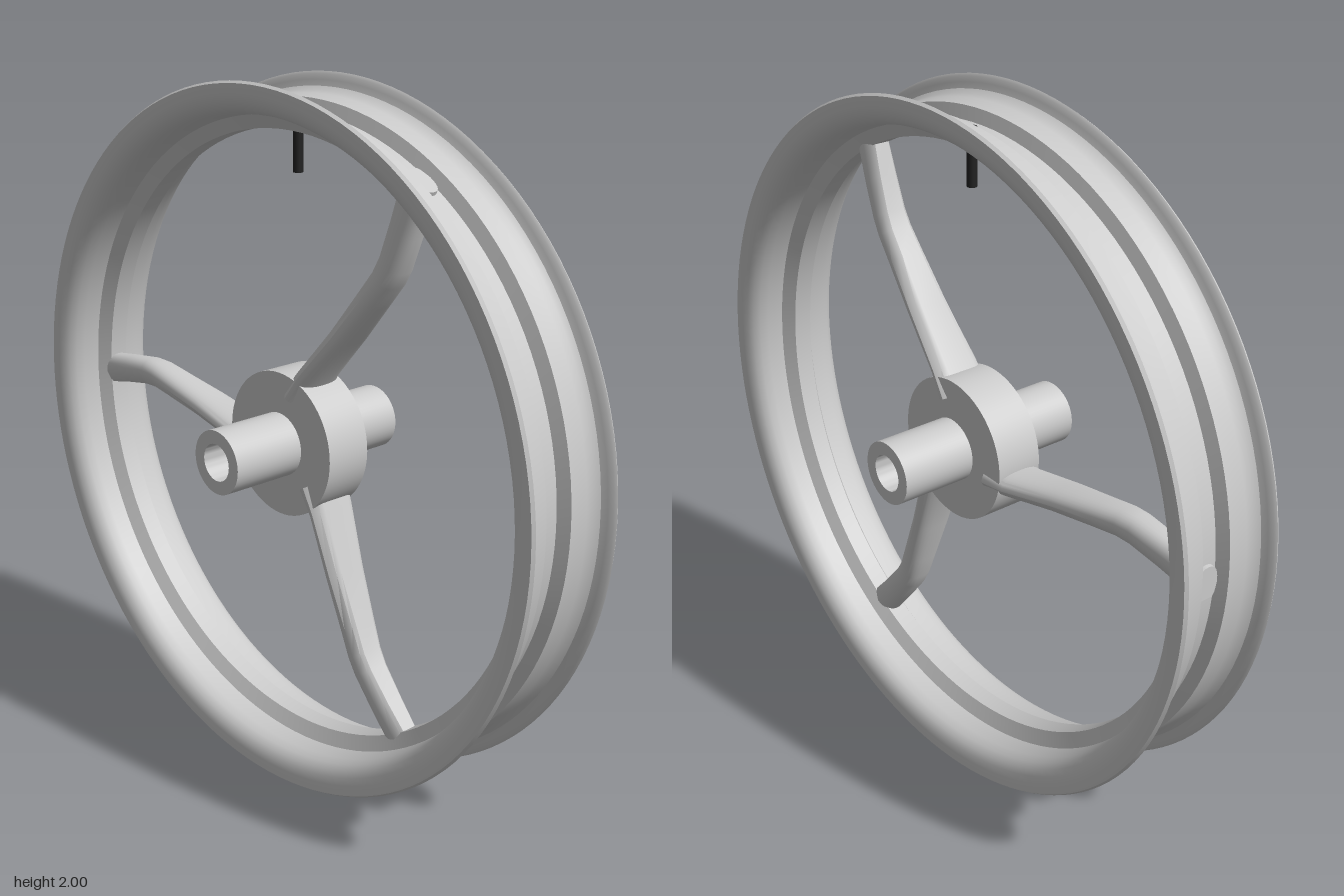
import * as THREE from 'three';
import { toCreasedNormals } from 'three/addons/utils/BufferGeometryUtils.js';

const grey = new THREE.MeshStandardMaterial({ color: 0xcccccc });
const dark = new THREE.MeshStandardMaterial({ color: 0x222222 });

function part(name, geometry, material = grey) {
  const mesh = new THREE.Mesh(geometry, material);
  mesh.name = name;
  return mesh;
}

// Revolve a closed [radius, x] profile around the x axis
function revolve(profile, segments) {
  const pts = profile.map(([r, x]) => new THREE.Vector2(r, x));
  pts.push(pts[0].clone());
  const geo = new THREE.LatheGeometry(pts, segments).rotateZ(-Math.PI / 2);
  return toCreasedNormals(geo, 0.5);
}

// Mirror the +x half of a profile to the -x side, in order from -x to +x
const mirrored = half => [...half.map(([r, x]) => [r, -x]).reverse(), ...half];

function rimGeometry() {
  // centre to lip: tyre side, then hub side
  const outer = [[0.908, 0.033], [0.943, 0.046], [0.947, 0.1], [0.952, 0.12],
    [0.962, 0.134], [0.978, 0.141], [0.993, 0.145], [1.0, 0.151]];
  const inner = [[0.865, 0.028], [0.904, 0.052], [0.909, 0.1], [0.916, 0.125],
    [0.928, 0.142], [0.945, 0.153], [0.965, 0.159], [0.994, 0.16]];
  return revolve([...mirrored(outer), ...mirrored(inner).reverse()], 128);
}

// Cross-section: rounded upper half, tapered flat-bottomed lower half
function spokeSection({ u, top, bottom, w }) {
  const mid = bottom + (top - bottom) * 0.42;
  const ring = [];
  for (let i = 0; i <= 14; i++) {
    const a = (i / 14) * Math.PI;
    const c = Math.cos(a);
    ring.push([w * Math.sign(c) * Math.abs(c) ** 0.8, mid + (top - mid) * Math.sin(a) ** 0.8, -u]);
  }
  for (const [sx, f] of [[-0.8, 0.25], [-0.6, 0], [0.6, 0], [0.8, 0.25]]) {
    ring.push([w * sx, bottom + (mid - bottom) * f, -u]);
  }
  return ring;
}

// Loft along -z, from inside the hub to just through the rim well
function spokeGeometry() {
  const rings = [
    { u: 0.14, top: 0.0, bottom: -0.075, w: 0.078 },
    { u: 0.22, top: -0.003, bottom: -0.062, w: 0.074 },
    { u: 0.40, top: 0.036, bottom: -0.028, w: 0.062 },
    { u: 0.55, top: 0.063, bottom: -0.007, w: 0.053 },
    { u: 0.63, top: 0.077, bottom: 0.004, w: 0.049 },
    { u: 0.68, top: 0.079, bottom: 0.002, w: 0.046 },
    { u: 0.78, top: 0.066, bottom: -0.017, w: 0.042 },
    { u: 0.87, top: 0.052, bottom: -0.038, w: 0.037 },
    { u: 0.917, top: 0.045, bottom: -0.047, w: 0.034 },
  ].map(spokeSection);
  const n = rings[0].length;
  const last = (rings.length - 1) * n;
  const index = [];
  for (let i = 0; i < rings.length - 1; i++) {
    for (let j = 0; j < n; j++) {
      const a = i * n + j, b = i * n + ((j + 1) % n);
      index.push(a, a + n, b, b, a + n, b + n);
    }
  }
  for (let j = 1; j < n - 1; j++) {
    index.push(0, j, j + 1, last, last + j + 1, last + j);
  }
  const geo = new THREE.BufferGeometry();
  geo.setAttribute('position', new THREE.Float32BufferAttribute(rings.flat(2), 3));
  geo.setIndex(index);
  return toCreasedNormals(geo, 0.55);
}

export function createModel() {
  const model = new THREE.Group();
  model.name = 'wheel';
  const wheel = new THREE.Group();
  wheel.name = 'wheelAssembly';
  wheel.position.y = 1;
  model.add(wheel);

  wheel.add(part('rim', rimGeometry()));

  // Hub disc and hollow axle sleeve
  wheel.add(part('hub', revolve([[0.07, -0.07], [0.208, -0.07], [0.208, 0.07], [0.07, 0.07]], 64)));
  wheel.add(part('axleSleeve', revolve([[0.053, -0.295], [0.091, -0.295], [0.091, 0.295], [0.053, 0.295]], 48)));

  // Three bent spokes
  const spoke = spokeGeometry();
  for (let k = 0; k < 3; k++) {
    const mesh = part(`spoke${k + 1}`, spoke);
    mesh.rotation.x = (k * 2 * Math.PI) / 3;
    wheel.add(mesh);
  }

  // Valve stem through the rim well
  const valve = part('valveStem', new THREE.CylinderGeometry(0.014, 0.014, 0.16, 20), dark);
  valve.position.y = 0.832;
  wheel.add(valve);

  return model;
}
